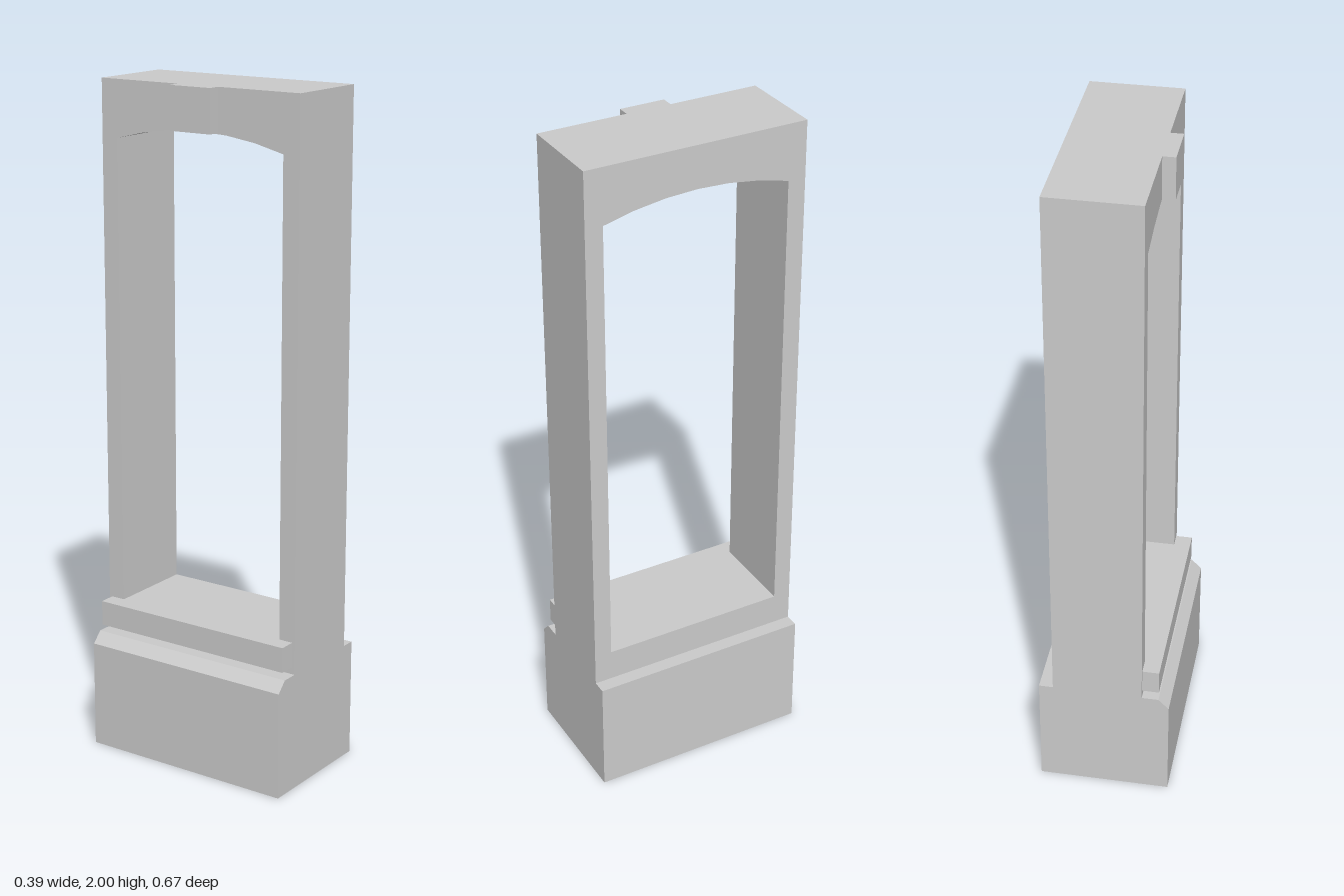
import * as THREE from 'three';

const DEPTH = 0.666;           // size along z
const X0 = -0.115, X1 = 0.152; // frame faces along x
const SILL = 0.45;

const material = new THREE.MeshStandardMaterial({ color: 0xcccccc, side: THREE.DoubleSide });

function add(group, name, geometry) {
  const mesh = new THREE.Mesh(geometry, material);
  mesh.name = name;
  group.add(mesh);
}

function extrude(points, depth) {
  const shape = new THREE.Shape(points.map(([x, y]) => new THREE.Vector2(x, y)));
  return new THREE.ExtrudeGeometry(shape, { depth, bevelEnabled: false });
}

// Drop the triangles lying flat on the ground, leaving a hollow underside
function openBottom(geometry) {
  const flat = geometry.index ? geometry.toNonIndexed() : geometry;
  const p = flat.attributes.position;
  const kept = [];
  for (let i = 0; i < p.count; i += 3) {
    if (Math.max(p.getY(i), p.getY(i + 1), p.getY(i + 2)) > 1e-4) kept.push(i, i + 1, i + 2);
  }
  flat.setIndex(kept);
  return flat;
}

function block(x0, x1, y0, y1, width) {
  const g = new THREE.BoxGeometry(x1 - x0, y1 - y0, width);
  return g.translate((x0 + x1) / 2, (y0 + y1) / 2, 0);
}

export function createModel() {
  const group = new THREE.Group();
  group.name = 'archedFrame';

  // Hollow plinth with one chamfered edge, rising into the sill
  const plinth = extrude([
    [-0.196, 0], [0.194, 0], [0.194, 0.354], [X1, 0.354], [X1, SILL],
    [X0, SILL], [X0, 0.354], [-0.165, 0.354], [-0.196, 0.322],
  ], DEPTH).translate(0, 0, -DEPTH / 2);
  add(group, 'plinth', openBottom(plinth));

  // Two jambs joined by a shallow arched head, drawn in z-y and extruded along x
  const half = DEPTH / 2, open = 0.28, spring = 1.835, rise = 0.04;
  const radius = (open * open + rise * rise) / (2 * rise);
  const sweep = Math.asin(open / radius);
  const outline = [[-half, SILL], [-open, SILL]];
  const segments = 6;
  for (let i = 0; i <= segments; i++) {
    const a = sweep * (2 * i / segments - 1);
    outline.push([radius * Math.sin(a), spring + rise - radius * (1 - Math.cos(a))]);
  }
  outline.push([open, SILL], [half, SILL], [half, 2], [-half, 2]);
  const frame = extrude(outline, X1 - X0).rotateY(Math.PI / 2).translate(X0, 0, 0);
  add(group, 'frame', frame);

  // Trim on the chamfered side
  add(group, 'sillStrip', block(-0.165, X0, 0.375, SILL, 0.648));
  add(group, 'keystone', block(-0.152, X0, 1.875, 2, 0.134));

  return group;
}
